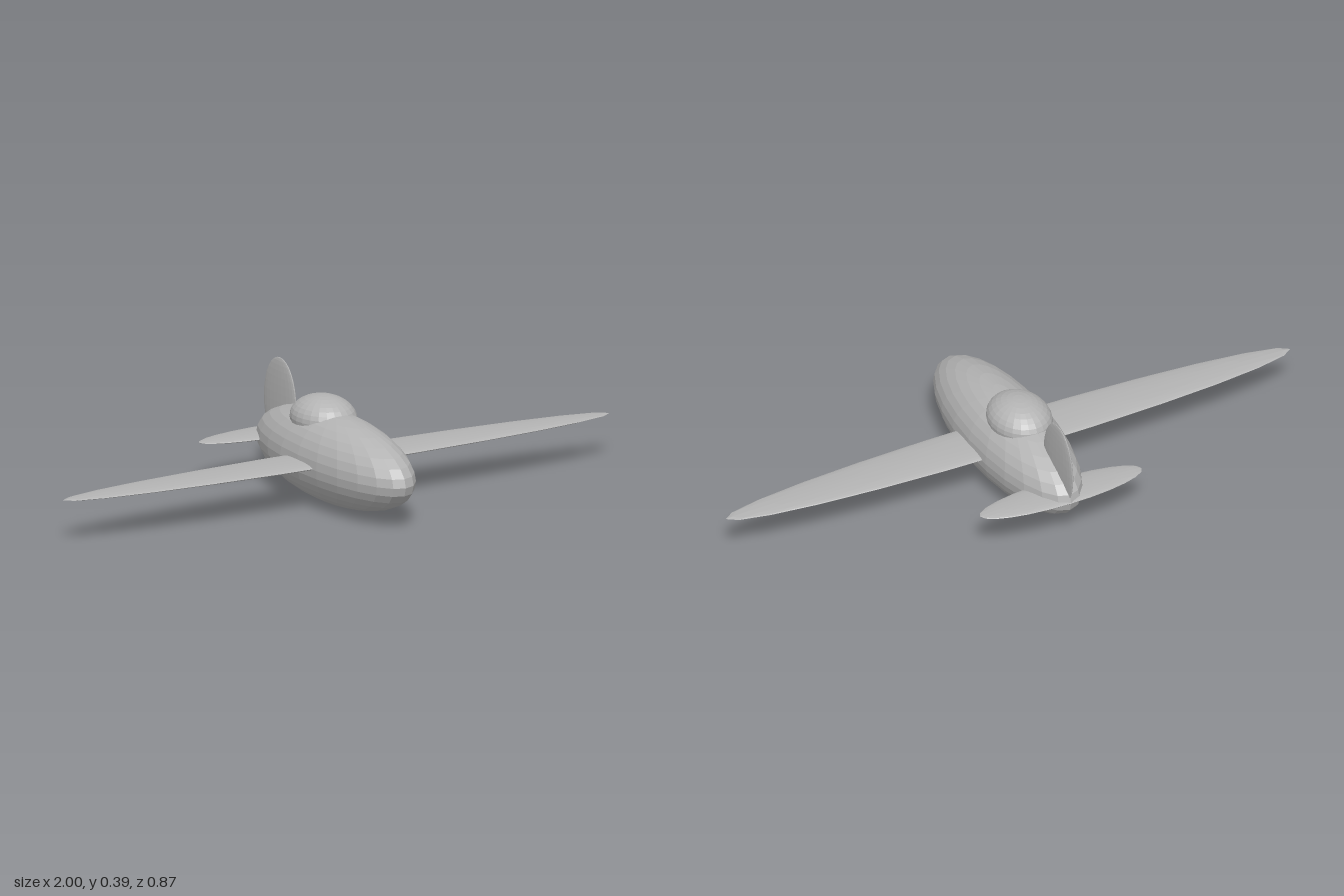
import * as THREE from 'three';

export function createModel() {
  const model = new THREE.Group();
  const grey = new THREE.MeshStandardMaterial({ color: 0xb3b3b3 });
  grey.name = 'light grey';
  grey.flatShading = true;

  // every part is a faceted ellipsoid with its poles up and down
  const ball = new THREE.SphereGeometry(1, 24, 16);
  const ellipsoid = (name, radii, centre) => {
    const mesh = new THREE.Mesh(ball, grey);
    mesh.name = name;
    mesh.scale.set(...radii);
    mesh.position.set(...centre);
    model.add(mesh);
  };

  const axis = 0.144; // height of the fuselage centre line
  ellipsoid('fuselage', [0.143, 0.143, 0.428], [0, axis, 0.006]);
  ellipsoid('canopy', [0.1, 0.072, 0.124], [0, 0.257, -0.071]);

  // lifting surfaces pass right through the fuselage
  ellipsoid('wing', [1, 0.0115, 0.091], [0, axis + 0.001, 0.006]);
  ellipsoid('tailplane', [0.286, 0.01, 0.07], [0, axis + 0.001, -0.352]);
  ellipsoid('tailFin', [0.01, 0.143, 0.099], [0, 0.244, -0.336]);

  return model;
}
